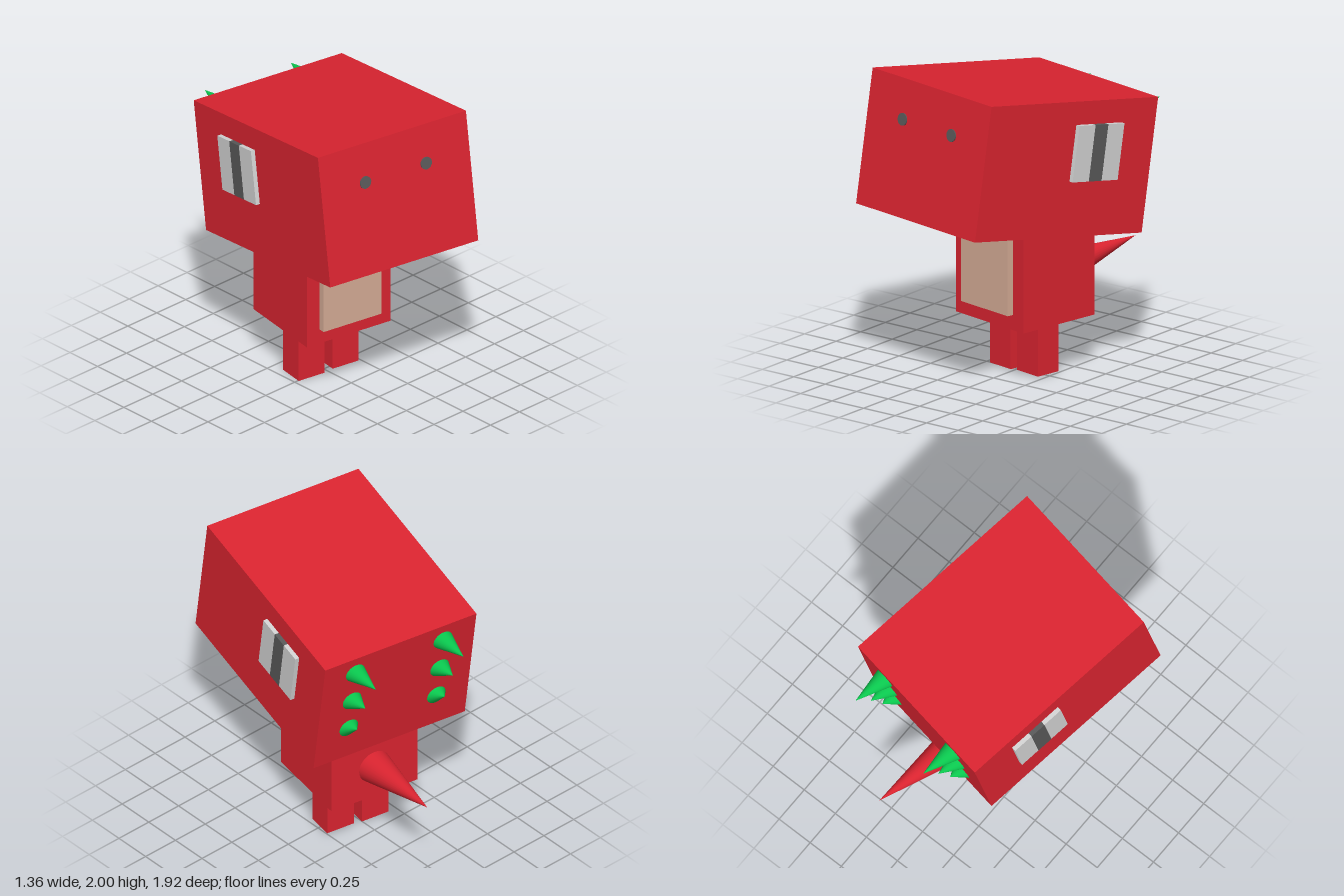
import * as THREE from 'three';

const material = (name, color) => {
  const m = new THREE.MeshStandardMaterial({ color });
  m.name = name;
  return m;
};

export function createModel() {
  const red = material('red', 0xdb2430);
  const green = material('green', 0x0ac74e);
  const tan = material('tan', 0xd6ac96);
  const lightGrey = material('light grey', 0xd3d3d3);
  const darkGrey = material('dark grey', 0x595959);

  const add = (parent, name, geometry, mat, x, y, z) => {
    const mesh = new THREE.Mesh(geometry, mat);
    mesh.name = name;
    mesh.position.set(x, y, z);
    parent.add(mesh);
    return mesh;
  };
  const box = (parent, name, mat, w, h, d, x, y, z) =>
    add(parent, name, new THREE.BoxGeometry(w, h, d), mat, x, y, z);

  // Cone pointing backwards, its tip raised by a shear so the base stays flat on the wall
  const spike = (radius, length, rise) => {
    const g = new THREE.ConeGeometry(radius, length, 28);
    g.rotateX(-Math.PI / 2).translate(0, 0, -length / 2);
    const shear = new THREE.Matrix4().set(1, 0, 0, 0, 0, 1, -rise / length, 0, 0, 0, 1, 0, 0, 0, 0, 1);
    return g.applyMatrix4(shear);
  };

  const model = new THREE.Group();
  model.name = 'blockCreature';
  const yaw = THREE.MathUtils.degToRad(-10);

  // Lower body, turned slightly to one side
  const body = new THREE.Group();
  body.name = 'body';
  body.position.set(0.025, 0, -0.04);
  body.rotation.y = yaw;
  model.add(body);

  box(body, 'torso', red, 0.63, 0.64, 0.6, 0, 0.68, 0);
  box(body, 'belly', tan, 0.437, 0.62, 0.045, 0, 0.77, 0.322);
  box(body, 'leftLeg', red, 0.195, 0.37, 0.175, 0.118, 0.195, 0);
  box(body, 'rightLeg', red, 0.195, 0.38, 0.175, -0.137, 0.19, 0);
  add(body, 'tail', spike(0.113, 0.63, 0.085), red, 0, 0.59, -0.298);

  // Head, tipped back
  const head = new THREE.Group();
  head.name = 'head';
  head.position.set(0, 1.46, 0.112);
  head.rotation.set(THREE.MathUtils.degToRad(-9.2), yaw, 0, 'YXZ');
  model.add(head);

  const W = 1.112, H = 0.872, D = 1.42;
  box(head, 'skull', red, W, H, D, 0, 0, 0);

  for (const side of [1, -1]) {
    const label = side > 0 ? 'left' : 'right';

    // Eye: thin disc on the face
    const eye = new THREE.CylinderGeometry(0.041, 0.041, 0.008, 16).rotateX(Math.PI / 2);
    add(head, label + 'Eye', eye, darkGrey, side * 0.228, 0.178, D / 2 + 0.003);

    // Ear plate: two light panels either side of a dark band
    const ear = new THREE.Group();
    ear.name = label + 'Ear';
    ear.position.set(side * (W / 2 + 0.014), 0.104, -0.229);
    head.add(ear);
    box(ear, 'earBand', darkGrey, 0.032, 0.363, 0.108, 0, 0, 0);
    for (const z of [-0.123, 0.123]) {
      box(ear, 'earPanel', lightGrey, 0.03, 0.363, 0.138, 0, 0, z);
    }

    // Spikes down the back of the head, shorter towards the bottom
    [[0.308, 0.24], [0.06, 0.152], [-0.183, 0.092]].forEach(([y, length], i) => {
      add(head, `${label}Spike${i + 1}`, spike(0.069, length, 0.066), green, side * 0.322, y, -D / 2 + 0.002);
    });
  }

  return model;
}
